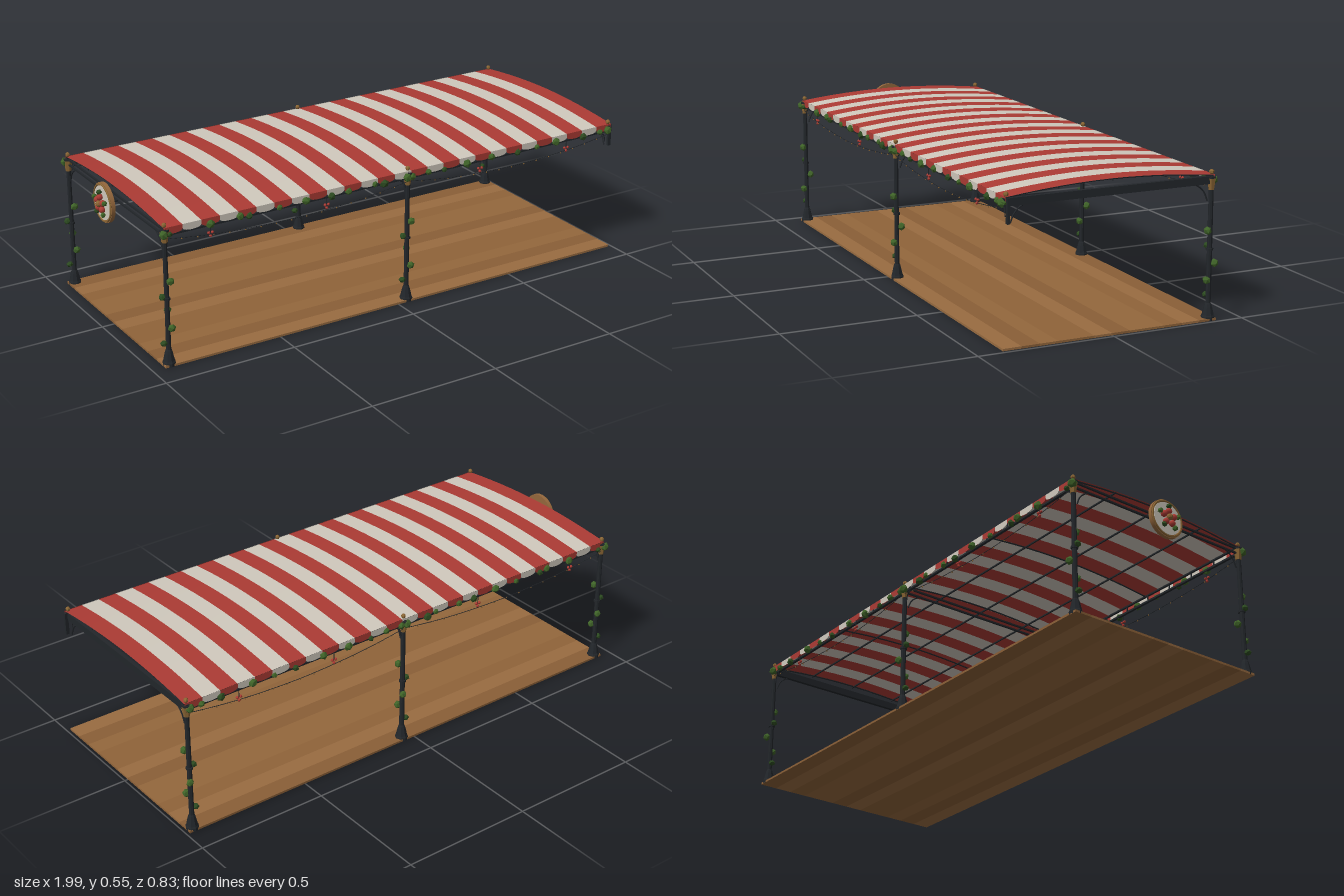
import * as THREE from 'three';

const mat = (color, extra = {}) => new THREE.MeshStandardMaterial({ color, ...extra });
const IRON = mat(0x22262a, { flatShading: true });
const BRASS = mat(0x8a6534, { flatShading: true });
const LEAF = mat(0x3f6328, { flatShading: true });
const LEAF_DARK = mat(0x2c4a20, { flatShading: true });
const WOOD = mat(0x94673c);
const CREAM = mat(0xd0c9bd, { side: THREE.DoubleSide });
const RED = mat(0xac3b34, { side: THREE.DoubleSide });

const X0 = -0.935, X1 = 0.975, EDGE = 0.39;   // canopy extent
const POST_Z = 0.385, POST_X = [-0.93, 0.045, 0.965];
const roofY = z => 0.535 - 0.025 * Math.pow(Math.abs(z) / EDGE, 1.9);

function add(parent, name, geometry, material, x = 0, y = 0, z = 0) {
  const mesh = new THREE.Mesh(geometry, material);
  mesh.name = name;
  mesh.position.set(x, y, z);
  parent.add(mesh);
  return mesh;
}

const box = (parent, name, w, h, d, m, x, y, z) =>
  add(parent, name, new THREE.BoxGeometry(w, h, d), m, x, y, z);

function rod(parent, name, points, radius, material, segments = 12) {
  const curve = new THREE.CatmullRomCurve3(points.map(p => new THREE.Vector3(...p)));
  return add(parent, name, new THREE.TubeGeometry(curve, segments, radius, 5), material);
}

function leaf(parent, x, y, z, r, i) {
  const m = add(parent, 'leafClump', new THREE.IcosahedronGeometry(r, 0), i % 3 ? LEAF : LEAF_DARK, x, y, z);
  m.rotation.set(i * 1.3, i * 2.1, i * 0.7);
  m.scale.y = 0.85;
}

// Post with flared foot, brass capital, finial and climbing leaves
function makePost(x, z) {
  const g = new THREE.Group();
  g.name = 'post';
  const foot = [[0.024, 0], [0.024, 0.012], [0.021, 0.018], [0.015, 0.045], [0.012, 0.055], [0.0085, 0.062]];
  add(g, 'postFoot', new THREE.LatheGeometry(foot.map(p => new THREE.Vector2(...p)), 8), IRON);
  add(g, 'postShaft', new THREE.CylinderGeometry(0.0085, 0.0095, 0.5, 8), IRON, 0, 0.255, 0);
  add(g, 'postCollar', new THREE.CylinderGeometry(0.013, 0.013, 0.008, 8), IRON, 0, 0.25, 0);
  add(g, 'capital', new THREE.CylinderGeometry(0.016, 0.0105, 0.04, 6), BRASS, 0, 0.477, 0);
  add(g, 'capitalRim', new THREE.CylinderGeometry(0.017, 0.017, 0.006, 6), IRON, 0, 0.5, 0);
  add(g, 'finial', new THREE.SphereGeometry(0.009, 6, 5), BRASS, 0, 0.519, 0);
  for (let i = 0; i < 5; i++) {
    const a = Math.PI - i * Math.PI * 2 / 3;
    leaf(g, Math.cos(a) * 0.017, 0.085 + i * 0.058, Math.sin(a) * 0.017, i % 3 ? 0.0155 : 0.0135, i);
  }
  g.position.set(x, 0, z);
  return g;
}

function makeCanopy() {
  const g = new THREE.Group();
  g.name = 'canopy';
  const n = 27, w = (X1 - X0) / n;
  // Scalloped valance tab
  const tab = new THREE.Shape();
  tab.moveTo(-w / 2, 0);
  tab.lineTo(-w / 2, -0.014);
  tab.quadraticCurveTo(-w / 2, -0.025, 0, -0.026);
  tab.quadraticCurveTo(w / 2, -0.025, w / 2, -0.014);
  tab.lineTo(w / 2, 0);
  const tabGeo = new THREE.ShapeGeometry(tab, 5);
  for (let i = 0; i < n; i++) {
    const m = i % 2 ? CREAM : RED, x = X0 + (i + 0.5) * w;
    const strip = new THREE.PlaneGeometry(w, EDGE * 2, 1, 12).rotateX(-Math.PI / 2);
    const p = strip.attributes.position;
    for (let k = 0; k < p.count; k++) p.setY(k, roofY(p.getZ(k)));
    strip.computeVertexNormals();
    add(g, 'canopyStripe', strip, m, x);
    for (const s of [1, -1]) {
      const t = add(g, 'valanceTab', tabGeo, m, x, 0.511, s * (EDGE + 0.002));
      if (s < 0) t.rotation.y = Math.PI;
    }
  }
  return g;
}

function makeFrame() {
  const g = new THREE.Group();
  g.name = 'frame';
  const len = X1 - X0, mid = (X0 + X1) / 2;
  for (const s of [1, -1]) {
    // Double rails along each long side with small struts
    box(g, 'upperRail', len, 0.006, 0.008, IRON, mid, 0.507, s * 0.383);
    box(g, 'lowerRail', len, 0.007, 0.01, IRON, mid, 0.482, s * 0.383);
    for (let i = 0; i <= 16; i++)
      box(g, 'railStrut', 0.004, 0.025, 0.004, IRON, X0 + 0.01 + i * (len - 0.02) / 16, 0.494, s * 0.383);
    box(g, 'purlin', len, 0.005, 0.005, IRON, mid, roofY(0.2) - 0.005, s * 0.2);
  }
  box(g, 'ridgePole', len, 0.005, 0.005, IRON, mid, 0.53, 0);
  // Arched rafters
  for (const x of [...POST_X, -0.44, 0.505]) {
    const pts = [-0.385, -0.2, 0, 0.2, 0.385].map(z => [x, roofY(z) - 0.003, z]);
    rod(g, 'rafter', pts, 0.0028, IRON);
  }
  // Cross beams: paired rails, one solid at the open end
  for (const x of [POST_X[0], POST_X[1]])
    for (const y of [0.482, 0.502]) box(g, 'crossRail', 0.007, 0.006, 0.77, IRON, x, y, 0);
  box(g, 'endBeam', 0.014, 0.027, 0.79, IRON, POST_X[2], 0.4915, 0);
  // Curved corner brackets
  for (const s of [1, -1]) {
    for (const x of POST_X)
      rod(g, 'crossBracket', [[x, 0.42, s * 0.37], [x, 0.45, s * 0.357], [x, 0.47, s * 0.338], [x, 0.48, s * 0.32]], 0.0028, IRON, 8);
    // Lengthwise braces
    for (const [x, d] of [[POST_X[0], 1], [POST_X[1], 1], [POST_X[1], -1], [POST_X[2], -1]])
      rod(g, 'sideBracket', [[x + d * 0.009, 0.44, s * 0.383], [x + d * 0.016, 0.468, s * 0.383], [x + d * 0.04, 0.481, s * 0.383]], 0.0022, IRON, 6);
  }
  // Hanging stub at the corner without a post
  box(g, 'cornerStub', 0.013, 0.085, 0.009, IRON, 0.976, 0.463, 0.383);
  add(g, 'cornerFinial', new THREE.SphereGeometry(0.009, 6, 5), BRASS, 0.965, 0.518, POST_Z);
  return g;
}

// Leaf garland, sagging light string and berry clusters on one long side
function makeGarland(s) {
  const g = new THREE.Group();
  g.name = 'garland';
  const z = s * 0.392;
  const spots = [-0.915, -0.76, -0.645, -0.61, -0.49, -0.385, -0.28, -0.21, -0.1, -0.06, 0.06, 0.13, 0.2, 0.3, 0.41, 0.53, 0.62, 0.71, 0.84, 0.92, 0.965];
  spots.forEach((x, i) => leaf(g, x * (s > 0 ? 1 : 0.99), 0.485 + (i % 3) * 0.003, z, 0.012 + (i * 7 % 4) * 0.002, i));
  for (const x of POST_X) leaf(g, x - 0.008, 0.489, s * 0.396, 0.018, 2);
  for (let b = 0; b < 2; b++) {
    const a = POST_X[b], w = POST_X[b + 1] - a;
    const sag = t => 0.472 - 0.15 * t * (1 - t);
    rod(g, 'lightString', [0, 0.125, 0.25, 0.5, 0.75, 0.875, 1].map(t => [a + t * w, sag(t), z]), 0.0012, IRON, 24);
    for (let i = 1; i < 16; i++)
      add(g, 'bulb', new THREE.SphereGeometry(0.0028, 5, 4), BRASS, a + i * w / 16, sag(i / 16) - 0.003, z);
  }
  for (const x of [-0.76, -0.3, 0.36, 0.76]) {
    for (const [dx, dy] of [[-0.007, 0.457], [0.007, 0.457], [0, 0.445]])
      add(g, 'berry', new THREE.IcosahedronGeometry(0.006, 0), RED, x + dx, dy, z);
    box(g, 'berryStem', 0.002, 0.025, 0.002, IRON, x, 0.47, z);
  }
  return g;
}

// Round hanging sign on the end
function makeSign() {
  const g = new THREE.Group();
  g.name = 'roundSign';
  const disc = (name, r, t, m, x, y = 0, z = 0) => {
    add(g, name, new THREE.CylinderGeometry(r, r, t, 28), m, x, y, z).rotation.z = Math.PI / 2;
  };
  disc('signBoard', 0.073, 0.014, WOOD, -0.966);
  disc('signFace', 0.062, 0.003, CREAM, -0.9745);
  add(g, 'signRim', new THREE.TorusGeometry(0.067, 0.004, 6, 28), BRASS, -0.974).rotation.y = Math.PI / 2;
  // Raised floral ornament
  for (let i = 0; i < 5; i++) {
    const a = i * Math.PI * 2 / 5 + Math.PI / 2, c = Math.cos(a), s = Math.sin(a);
    add(g, 'petal', new THREE.SphereGeometry(0.012, 8, 6), RED, -0.984, s * 0.024, c * 0.024);
    leaf(g, -0.986, s * 0.043, -c * 0.043, 0.011, i);
  }
  add(g, 'flowerCentre', new THREE.SphereGeometry(0.012, 8, 6), BRASS, -0.988);
  for (const s of [1, -1]) box(g, 'signArm', 0.03, 0.006, 0.006, IRON, -0.947, 0.012, s * 0.035);
  g.position.y = 0.474;
  return g;
}

export function createModel() {
  const model = new THREE.Group();
  model.name = 'pergola';

  // Plank deck
  const deck = new THREE.Group();
  deck.name = 'deck';
  const tones = [0x8a5f37, 0x94673c, 0x8f6339, 0x996c41];
  const planks = 12, pw = 0.81 / planks;
  for (let i = 0; i < planks; i++)
    box(deck, 'plank', 1.94, 0.008, pw, mat(tones[(i * 3 + (i >> 2)) % 4]), 0.017, 0.004, -0.405 + (i + 0.5) * pw);
  model.add(deck);

  // Five posts; the front corner at the open end is left free
  for (const x of POST_X)
    for (const s of [1, -1])
      if (!(x === POST_X[2] && s === 1)) model.add(makePost(x, s * POST_Z));

  model.add(makeCanopy(), makeFrame(), makeGarland(1), makeGarland(-1), makeSign());
  return model;
}
